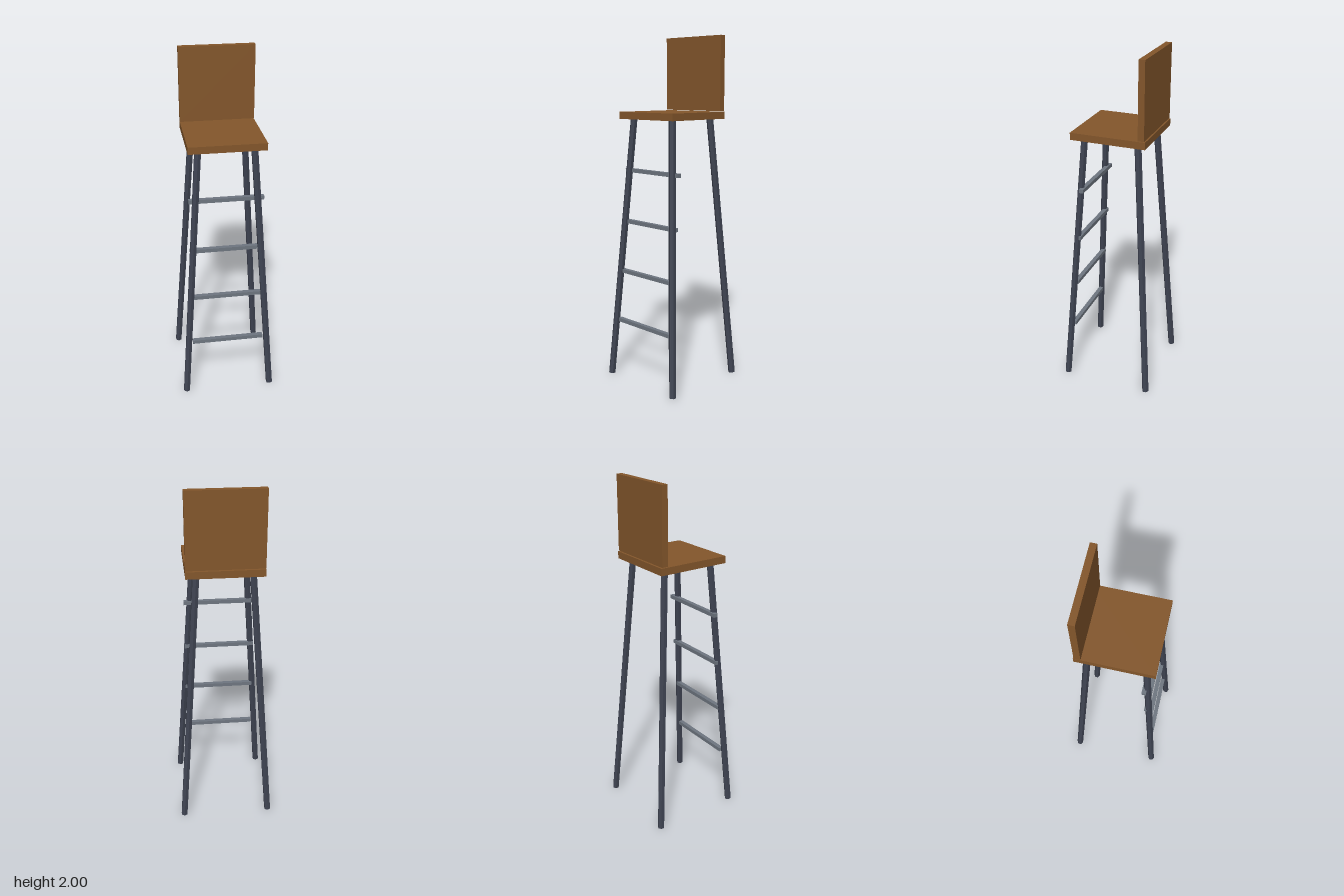
import * as THREE from 'three';

export function createModel() {
  const model = new THREE.Group();
  model.name = 'highChair';

  const material = (name, color, flatShading = false) => {
    const m = new THREE.MeshStandardMaterial({ color, flatShading });
    m.name = name;
    return m;
  };
  const wood = material('brownWood', 0x83562b);
  const darkMetal = material('darkMetal', 0x3f4452, true);
  const greyMetal = material('greyMetal', 0x6e7680);

  const add = (name, geometry, mat, x, y, z) => {
    const mesh = new THREE.Mesh(geometry, mat);
    mesh.name = name;
    mesh.position.set(x, y, z);
    model.add(mesh);
    return mesh;
  };

  // Seat slab and upright backrest
  add('seat', new THREE.BoxGeometry(0.425, 0.04, 0.425), wood, 0, 1.555, 0);
  add('backrest', new THREE.BoxGeometry(0.425, 0.421, 0.035), wood, 0, 1.7895, -0.19);

  // Four splayed six-sided legs
  const legGeometry = new THREE.CylinderGeometry(0.02, 0.02, 1.545, 6);
  const tilt = 0.068;
  for (const sx of [1, -1]) {
    for (const sz of [1, -1]) {
      const name = (sz > 0 ? 'front' : 'back') + (sx > 0 ? 'Left' : 'Right') + 'Leg';
      const leg = add(name, legGeometry, darkMetal, sx * 0.205, 0.772, sz * 0.205);
      leg.rotation.set(-sz * tilt, 0, sx * tilt);
    }
  }

  // Ladder rungs across the front legs, following their slope
  const rungGeometry = new THREE.BoxGeometry(0.42, 0.022, 0.025);
  for (let i = 0; i < 4; i++) {
    add('rung' + (i + 1), rungGeometry, greyMetal, 0, 0.345 + i * 0.298, 0.227 - i * 0.023);
  }

  return model;
}
